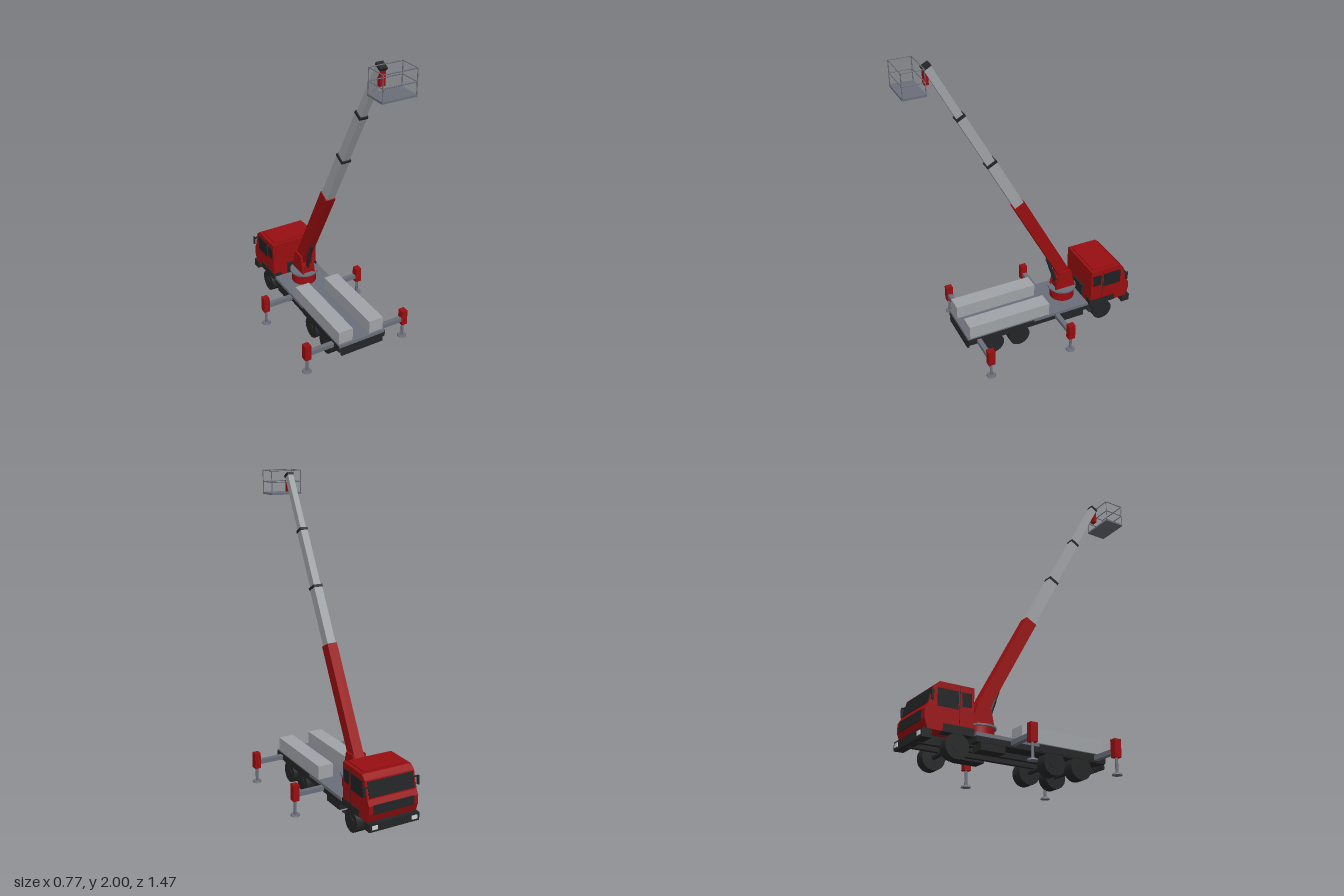
import * as THREE from 'three';

const mat = (name, color, extra = {}) => {
  const m = new THREE.MeshStandardMaterial({ color, ...extra });
  m.name = name;
  return m;
};

export function createModel() {
  const red = mat('red paint', 0x980e11);
  const silver = mat('silver', 0xa0a3a7);
  const grey = mat('steel grey', 0x6a6e79);
  const dark = mat('dark trim', 0x242526);
  const glass = mat('dark glass', 0x1d2022);
  const lamp = mat('lamp white', 0xd0d2d4);

  const root = new THREE.Group();
  root.name = 'boomLiftTruck';
  const group = (name, parent = root) => {
    const g = new THREE.Group();
    g.name = name;
    parent.add(g);
    return g;
  };
  const add = (parent, name, geo, m, x = 0, y = 0, z = 0) => {
    const mesh = new THREE.Mesh(geo, m);
    mesh.name = name;
    mesh.position.set(x, y, z);
    parent.add(mesh);
    return mesh;
  };
  // Box given by its limits on each axis
  const box = (parent, name, m, x0, x1, y0, y1, z0, z1) =>
    add(parent, name, new THREE.BoxGeometry(x1 - x0, y1 - y0, z1 - z0), m, (x0 + x1) / 2, (y0 + y1) / 2, (z0 + z1) / 2);
  // The same box on both sides of the model
  const pair = (parent, name, m, x0, x1, ...yz) => {
    box(parent, name + 'Left', m, x0, x1, ...yz);
    box(parent, name + 'Right', m, -x1, -x0, ...yz);
  };
  // Rod between two points
  const rod = (parent, name, m, a, b, r, sides = 8) => {
    const p = new THREE.Vector3(...a), q = new THREE.Vector3(...b);
    const mesh = add(parent, name, new THREE.CylinderGeometry(r, r, p.distanceTo(q), sides), m);
    mesh.position.copy(p).add(q).multiplyScalar(0.5);
    mesh.quaternion.setFromUnitVectors(new THREE.Vector3(0, 1, 0), q.sub(p).normalize());
    return mesh;
  };
  // Side profile of (-z, y) points, extruded across x
  const profile = (points, width) => new THREE.ExtrudeGeometry(
    new THREE.Shape(points.map(p => new THREE.Vector2(...p))), { depth: width, bevelEnabled: false })
    .translate(0, 0, -width / 2).rotateY(Math.PI / 2);

  // Chassis and deck
  const chassis = group('chassis');
  box(chassis, 'deck', grey, -0.165, 0.165, 0.147, 0.168, -0.41, 0.45);
  box(chassis, 'subframe', dark, -0.163, 0.163, 0.115, 0.147, -0.41, 0.45);
  pair(chassis, 'frameRail', dark, 0.04, 0.065, 0.085, 0.14, -0.7, 0.44);
  pair(chassis, 'sideSkirt', dark, 0.164, 0.169, 0.12, 0.162, -0.01, 0.45);
  pair(chassis, 'sideTank', dark, 0.07, 0.16, 0.075, 0.135, -0.38, -0.225);
  box(chassis, 'rearBumper', dark, -0.15, 0.15, 0.088, 0.115, 0.442, 0.454);
  pair(chassis, 'rearBumperBracket', dark, 0.06, 0.08, 0.1, 0.12, 0.43, 0.445);
  pair(chassis, 'lockerBox', silver, 0.06, 0.16, 0.168, 0.255, -0.122, 0.436);

  // Wheels
  const wheels = group('wheels');
  for (const z of [-0.523, 0.093, 0.276]) {
    rod(wheels, 'axle', dark, [-0.1, 0.07, z], [0.1, 0.07, z], 0.014);
    for (const s of [-1, 1]) {
      const inner = z < 0 ? 0.1 : 0.09;
      const w = 0.165 - inner;
      const tyre = add(wheels, 'tyre', new THREE.CylinderGeometry(0.07, 0.07, w, 28), dark, s * (inner + w / 2), 0.07, z);
      tyre.rotation.z = Math.PI / 2;
      rod(wheels, 'hub', dark, [s * 0.164, 0.07, z], [s * 0.168, 0.07, z], 0.03, 16);
    }
  }

  // Cab
  const cab = group('cab');
  add(cab, 'cabShell', profile([
    [0.43, 0.136], [0.70, 0.136], [0.72, 0.19], [0.72, 0.24], [0.702, 0.272],
    [0.672, 0.378], [0.64, 0.405], [0.43, 0.405]], 0.33), red);
  box(cab, 'roofPanel', red, -0.142, 0.142, 0.404, 0.412, -0.62, -0.45);
  // Thin plate lying on a sloped front face
  const frontPlate = (name, m, [u0, y0], [u1, y1], width, x = 0) => {
    const plate = add(cab, name, new THREE.BoxGeometry(width, Math.hypot(u1 - u0, y1 - y0), 0.008), m,
      x, (y0 + y1) / 2, -(u0 + u1) / 2);
    plate.rotation.x = Math.atan2(u0 - u1, y1 - y0);
  };
  frontPlate('windscreen', glass, [0.7, 0.28], [0.674, 0.37], 0.305);
  frontPlate('grille', dark, [0.721, 0.187], [0.721, 0.243], 0.27);
  pair(cab, 'sideWindow', glass, 0.162, 0.168, 0.268, 0.368, -0.65, -0.525);
  pair(cab, 'rearSideWindow', glass, 0.162, 0.168, 0.29, 0.368, -0.502, -0.445);
  pair(cab, 'doorSeam', dark, 0.162, 0.166, 0.18, 0.395, -0.517, -0.514);
  pair(cab, 'wheelArch', dark, 0.11, 0.168, 0.134, 0.178, -0.612, -0.426);
  pair(cab, 'mudFlap', dark, 0.1, 0.165, 0.083, 0.09, -0.45, -0.42);
  box(cab, 'airIntake', dark, -0.06, 0.06, 0.14, 0.24, -0.43, -0.416);
  box(cab, 'frontBumper', dark, -0.168, 0.168, 0.088, 0.137, -0.732, -0.675);
  pair(cab, 'headlamp', lamp, 0.115, 0.152, 0.102, 0.126, -0.736, -0.731);
  pair(cab, 'mirror', dark, 0.178, 0.188, 0.29, 0.345, -0.696, -0.682);
  pair(cab, 'mirrorArm', dark, 0.15, 0.182, 0.336, 0.342, -0.69, -0.674);

  // Outriggers
  const outriggers = group('outriggers');
  for (const z of [-0.18, 0.38]) {
    box(outriggers, 'outriggerBeam', grey, -0.345, 0.345, 0.125, 0.153, z - 0.015, z + 0.015);
    for (const s of [-1, 1]) {
      const x = s * 0.353;
      box(outriggers, 'outriggerPost', red, x - 0.02, x + 0.02, 0.1, 0.205, z - 0.022, z + 0.022);
      rod(outriggers, 'outriggerLeg', grey, [x, 0.005, z], [x, 0.11, z], 0.009, 12);
      add(outriggers, 'outriggerFoot', new THREE.CylinderGeometry(0.026, 0.03, 0.01, 20), grey, x, 0.005, z);
    }
  }

  // Turntable and boom mount
  const turret = group('turret');
  add(turret, 'turretDrum', new THREE.CylinderGeometry(0.082, 0.082, 0.075, 32), red, 0, 0.203, -0.298);
  add(turret, 'turntableRing', new THREE.CylinderGeometry(0.094, 0.094, 0.011, 32), grey, 0, 0.244, -0.298);
  for (const s of [-1, 1]) {
    add(turret, 'boomMountPlate', profile([
      [0.228, 0.249], [0.374, 0.249], [0.338, 0.38], [0.258, 0.38]], 0.013), red, s * 0.0395);
  }
  box(turret, 'mountBase', red, -0.034, 0.034, 0.249, 0.3, -0.365, -0.24);
  rod(turret, 'liftCylinder', dark, [0, 0.29, -0.25], [0, 0.43, -0.203], 0.012, 14);
  rod(turret, 'liftPiston', dark, [0, 0.42, -0.206], [0, 0.49, -0.18], 0.009, 14);

  // Telescopic boom, built upright and tilted towards the rear
  const boom = group('boom');
  boom.position.set(0, 0.32, -0.32);
  boom.rotation.x = 0.4905;
  const sections = [
    ['boomBase', red, 0.066, 0.078, 0, 0.742],
    ['boomSection1', silver, 0.056, 0.066, 0.7, 1.122],
    ['boomSection2', silver, 0.047, 0.056, 1.1, 1.503],
    ['boomSection3', silver, 0.038, 0.046, 1.48, 1.88],
  ];
  sections.forEach(([name, m, w, d, y0, y1], i) => {
    box(boom, name, m, -w / 2, w / 2, y0, y1, -d / 2, d / 2);
    if (i) box(boom, 'boomCollar', dark, -w / 2 - 0.003, w / 2 + 0.003, y1 - 0.016, y1 + 0.001, -d / 2 - 0.003, d / 2 + 0.003);
  });

  // Work basket
  const basket = group('basket');
  box(basket, 'basketBracket', red, -0.017, 0.017, 1.868, 1.962, 0.555, 0.58);
  box(basket, 'basketFloor', grey, -0.106, 0.106, 1.845, 1.857, 0.6, 0.736);
  const X = 0.103, Z0 = 0.603, Z1 = 0.733, R = 0.003;
  for (const x of [-X, X]) {
    for (const z of [Z0, Z1]) rod(basket, 'basketPost', grey, [x, 1.85, z], [x, 1.997, z], R, 6);
  }
  for (const y of [1.925, 1.997]) {
    for (const z of [Z0, Z1]) rod(basket, 'basketRail', grey, [-X, y, z], [X, y, z], R, 6);
    for (const x of [-X, X]) rod(basket, 'basketSideRail', grey, [x, y, Z0], [x, y, Z1], R, 6);
  }
  return root;
}
